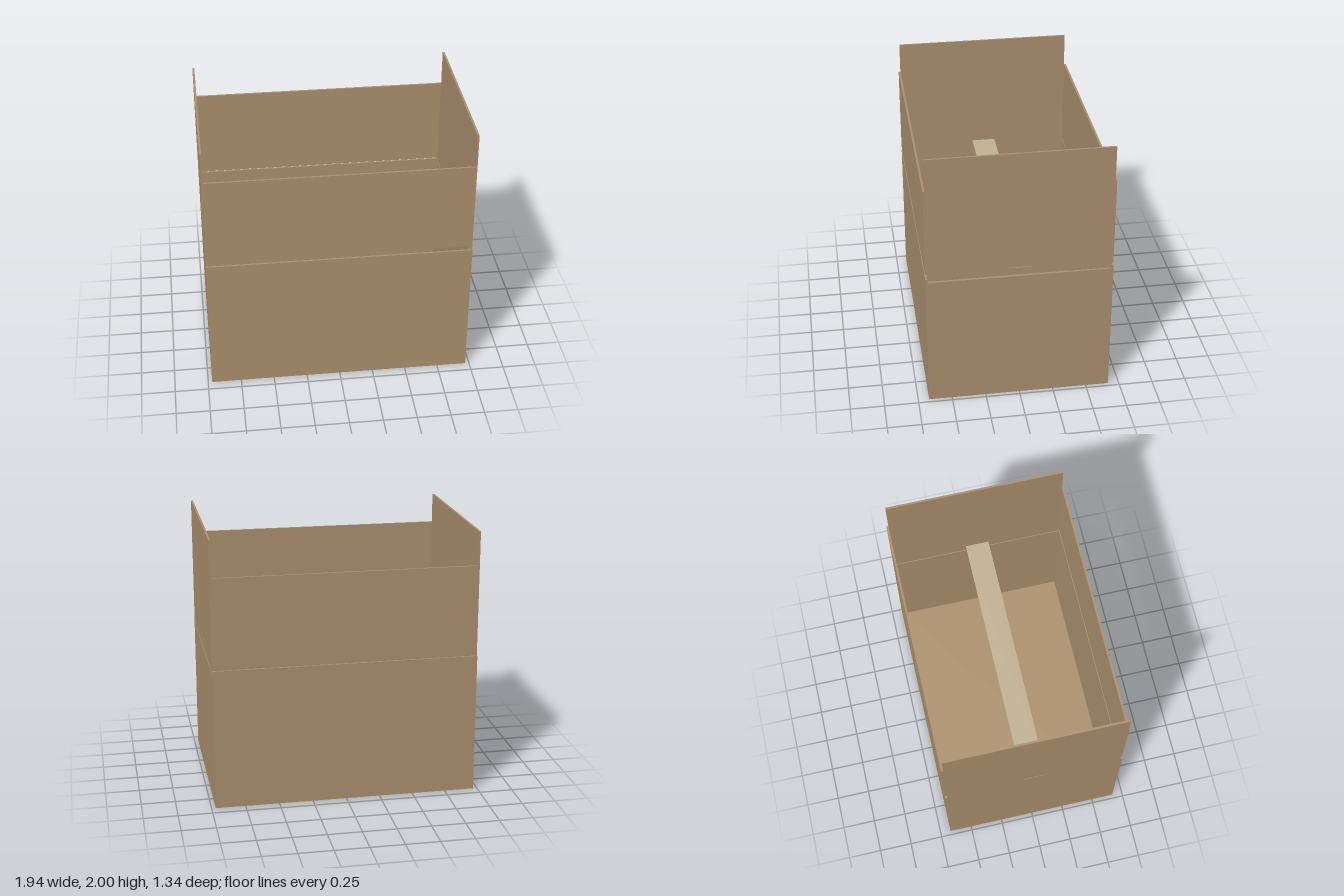
import * as THREE from 'three';

// Open carton: thin board walls, four upright flaps and a tape strip
export function createModel() {
  const group = new THREE.Group();
  const cardboard = new THREE.MeshStandardMaterial({ color: 0xae9370 });
  cardboard.name = 'cardboard';
  const tape = new THREE.MeshStandardMaterial({ color: 0xc4b494 });
  tape.name = 'packing tape';

  const W = 0.97, D = 0.67, T = 0.015; // half width, half depth, board thickness

  // Box given by its lower and upper limits on each axis
  function board(name, x0, x1, y0, y1, z0, z1, material = cardboard) {
    const mesh = new THREE.Mesh(new THREE.BoxGeometry(x1 - x0, y1 - y0, z1 - z0), material);
    mesh.position.set((x0 + x1) / 2, (y0 + y1) / 2, (z0 + z1) / 2);
    mesh.name = name;
    group.add(mesh);
  }

  // Body: the long walls cover the ends of the side walls
  board('bottom', -W + T, W - T, 0, T, -D + T, D - T);
  board('frontWall', -W, W, 0, 1.05, D - T, D);
  board('backWall', -W, W, 0, 1.05, -D, -D + T);
  board('leftWall', W - T, W, 0, 1.022, -D + T, D - T);
  board('rightWall', -W, -W + T, 0, 1.012, -D + T, D - T);

  // Flaps stand upright, each hinged at a slightly different height
  board('frontFlap', -W + T, W - T, 1.085, 1.752, D - T, D);
  board('backFlap', -W + T, W - T, 1.06, 1.73, -D, -D + T);
  board('leftFlap', W - T, W, 1.035, 2, -D + T, D - T);
  board('rightFlap', -W, -W + T, 1.012, 1.978, -D + T, D - T);

  // Tape spans the opening, its ends just piercing the side flaps
  board('tapeStrip', -W - 0.001, W + 0.001, 1.093, 1.097, -0.09, 0.09, tape);

  return group;
}
